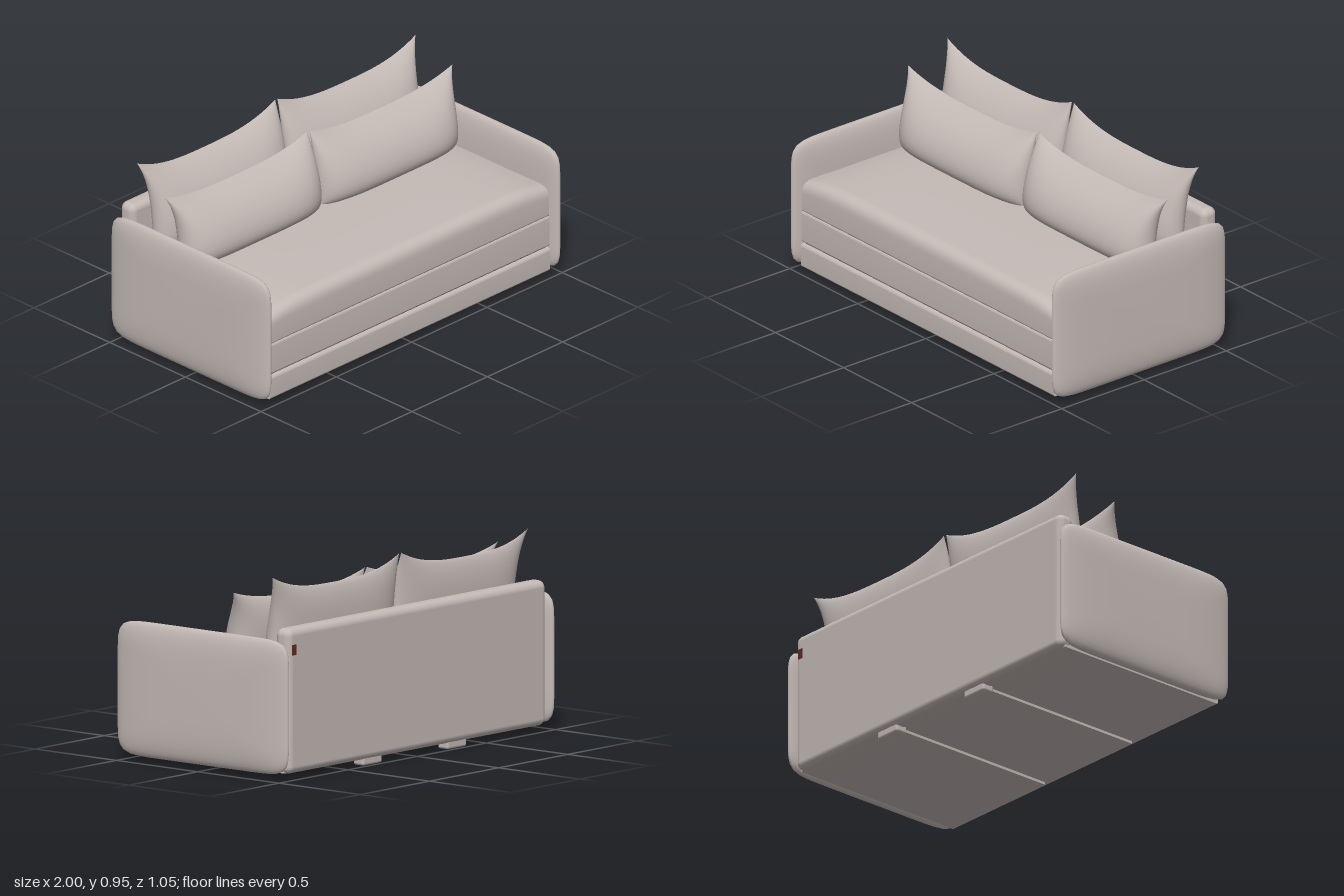
import * as THREE from 'three';
import { mergeGeometries, mergeVertices, toCreasedNormals } from 'three/addons/utils/BufferGeometryUtils.js';
import { RoundedBoxGeometry } from 'three/addons/geometries/RoundedBoxGeometry.js';

// Move every vertex of a geometry by a rule, weld it and smooth it
function reshape(geo, rule) {
  const p = geo.attributes.position, v = new THREE.Vector3();
  for (let i = 0; i < p.count; i++) {
    v.fromBufferAttribute(p, i);
    rule(v);
    p.setXYZ(i, v.x, v.y, v.z);
  }
  geo.deleteAttribute('uv');
  geo.deleteAttribute('normal');
  const welded = mergeVertices(geo, 1e-5);
  welded.computeVertexNormals();
  return welded;
}

// Upholstered arm: a soft lens with a rounded-rectangle outline
function armGeometry() {
  const profile = [];
  for (let i = 0; i <= 16; i++) {
    const a = Math.PI * i / 16;
    const s = Math.pow(Math.sin(a), 0.45);
    profile.push(new THREE.Vector2(i % 16 ? s : 0, -Math.cos(a) * 0.039));
  }
  return reshape(new THREE.LatheGeometry(profile, 96), v => {
    const r = Math.hypot(v.x, v.z);
    const c = r ? v.x / r : 0, s = r ? v.z / r : 0;
    const k = r ? r / Math.pow(Math.abs(c) ** 10 + Math.abs(s) ** 10, 0.1) : 0;
    // turn the lathe axis to x
    v.set(v.y, -k * c * 0.322, k * s * 0.525);
  });
}

// Pillow: two sheets joined at a seam, leaning back, with pointed top corners
function pillowGeometry(side, o) {
  const sheet = dir => {
    const g = new THREE.PlaneGeometry(2, 2, 32, 24);
    if (dir < 0) g.rotateY(Math.PI);
    return reshape(g, v => {
      const u = Math.sin(v.x * Math.PI / 2), t = (Math.sin(v.y * Math.PI / 2) + 1) / 2;
      const out = u * side;
      const x = 0.475 + out * (out > 0 ? o.width + 0.06 * t ** 4 : 0.468);
      const y = o.bottom + t * (o.height - o.dip * (1 - Math.abs(u) ** 3));
      const puff = Math.pow(Math.max(0, 1 - t ** 3), 0.8) * Math.sqrt(Math.max(0, 1 - (1 - t) ** 8))
        * Math.sqrt(Math.max(0, 1 - Math.abs(u) ** 5));
      const seam = o.seamBottom + (o.seamTop - o.seamBottom) * t * t;
      v.set(side * x, y, seam + puff * (dir > 0 ? o.front - o.seamBottom : o.back - o.seamBottom));
    });
  };
  const g = mergeVertices(mergeGeometries([sheet(1), sheet(-1)].map(s => {
    s.deleteAttribute('normal');
    return s;
  })), 1e-4);
  g.computeVertexNormals();
  return g;
}

// Section drawn in (z, y) with rounded front corners, run along x
function runGeometry(halfWidth, back, front, y0, y1, rBottom, rTop, crown = 0) {
  const s = new THREE.Shape();
  s.moveTo(back, y0);
  s.lineTo(front - rBottom, y0);
  s.quadraticCurveTo(front, y0, front, y0 + rBottom);
  s.lineTo(front, y1 - rTop);
  s.quadraticCurveTo(front, y1, front - rTop, y1);
  s.lineTo(back, y1);
  s.closePath();
  const g = new THREE.ExtrudeGeometry(s, { depth: 2 * halfWidth, steps: 32, bevelEnabled: false, curveSegments: 8 });
  g.translate(0, 0, -halfWidth);
  g.rotateY(-Math.PI / 2);
  const p = g.attributes.position;
  for (let i = 0; i < p.count; i++) {
    const lift = (p.getY(i) - y0) / (y1 - y0);
    p.setY(i, p.getY(i) - crown * lift * Math.abs(p.getX(i) / halfWidth) ** 8);
  }
  return toCreasedNormals(g, 0.6);
}

export function createModel() {
  const model = new THREE.Group();
  model.name = 'sofa';
  const fabric = new THREE.MeshStandardMaterial({ color: 0xc4bab6 });
  fabric.name = 'greige fabric';
  const lining = new THREE.MeshStandardMaterial({ color: 0x5e2c24 });
  lining.name = 'dark red lining';

  const add = (name, geo, mat = fabric, x = 0, y = 0, z = 0) => {
    const m = new THREE.Mesh(geo, mat);
    m.name = name;
    m.position.set(x, y, z);
    model.add(m);
    return m;
  };

  // Base, seat layers and the recess between them
  add('baseRail', runGeometry(0.93, -0.47, 0.49, 0.033, 0.152, 0.012, 0.015));
  add('baseRecess', new THREE.BoxGeometry(1.84, 0.03, 0.92), lining, 0, 0.157, 0.01);
  add('lowerSeat', runGeometry(0.925, -0.43, 0.49, 0.163, 0.322, 0.012, 0.012));
  add('upperSeat', runGeometry(0.925, -0.43, 0.488, 0.32, 0.502, 0.012, 0.07, 0.03));

  // Back frame with a small lining patch at one end
  add('backFrame', new RoundedBoxGeometry(1.87, 0.69, 0.09, 5, 0.035), fabric, 0, 0.375, -0.46);
  add('backLiningPatch', new THREE.BoxGeometry(0.03, 0.05, 0.004), lining, 0.895, 0.62, -0.505);

  // Arms, pillows, runners and feet on both sides
  const arm = armGeometry();
  for (const side of [-1, 1]) {
    const label = side > 0 ? 'left' : 'right';
    add(label + 'Arm', arm, fabric, side * 0.959, 0.348, 0);
    add(label + 'FrontPillow', pillowGeometry(side, {
      width: 0.422, bottom: 0.49, height: 0.375, dip: 0.052,
      seamBottom: -0.12, seamTop: -0.183, front: 0.012, back: -0.225,
    }));
    add(label + 'BackPillow', pillowGeometry(side, {
      width: 0.39, bottom: 0.49, height: 0.465, dip: 0.075,
      seamBottom: -0.33, seamTop: -0.395, front: -0.225, back: -0.412,
    }));
    add(label + 'Runner', new THREE.BoxGeometry(0.1, 0.02, 0.9), fabric, side * 0.305, 0.03, 0.01);
    add(label + 'RearFoot', new RoundedBoxGeometry(0.14, 0.045, 0.065, 3, 0.012), fabric, side * 0.305, 0.0225, -0.455);
  }
  return model;
}
